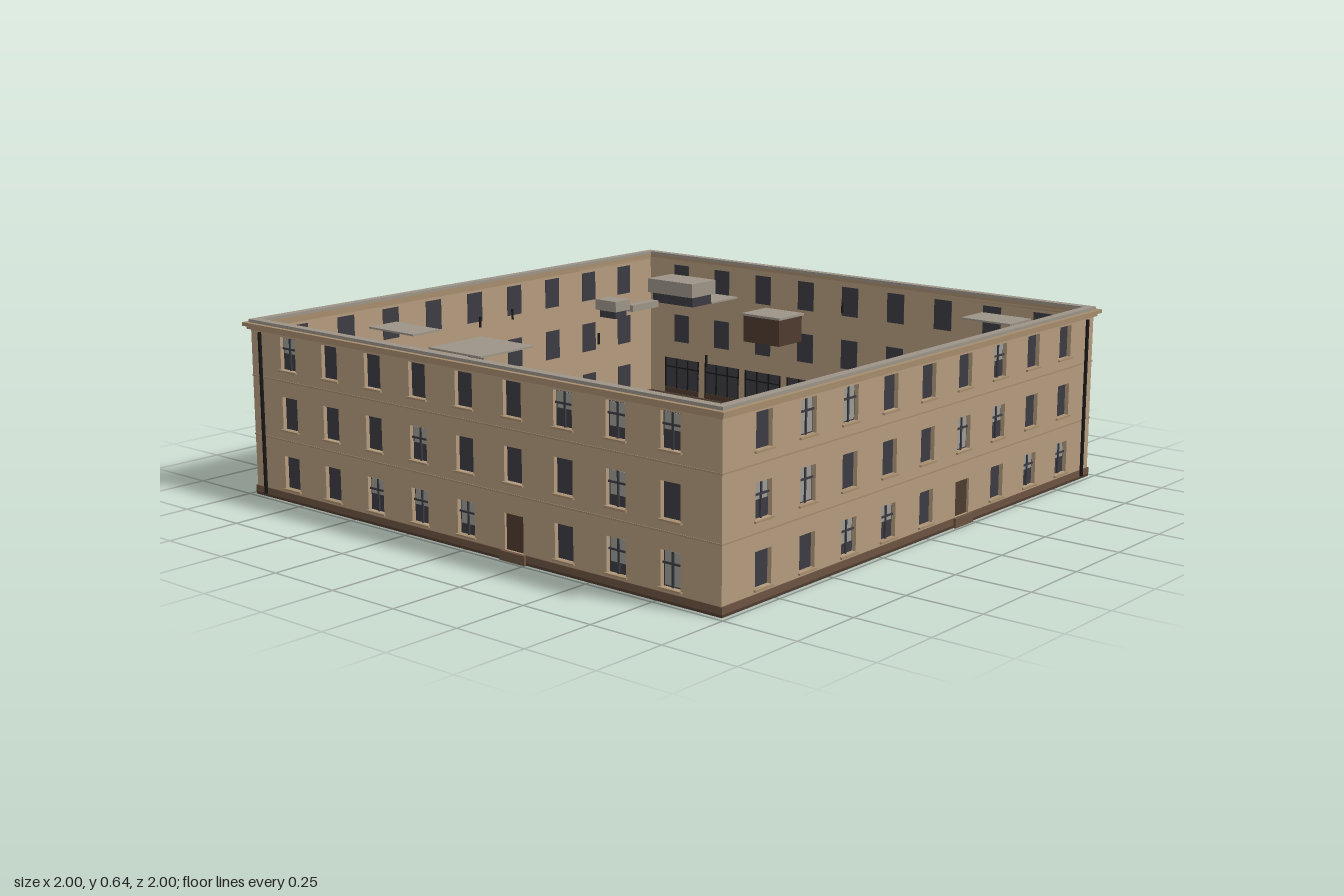
import * as THREE from 'three';

const mat = (name, color) => {
  const m = new THREE.MeshStandardMaterial({ color });
  m.name = name;
  return m;
};

export function createModel() {
  const M = {
    wall: mat('tan masonry', 0xb49c7e),
    trim: mat('cornice tan', 0xa68c6d),
    plinth: mat('plinth brown', 0x6b5341),
    door: mat('dark brown', 0x4e3b2e),
    glass: mat('dark glass', 0x3c3b42),
    blind: mat('pale blind', 0x9c9b95),
    grey: mat('roof grey', 0x9c9488),
    iron: mat('black iron', 0x1a1817),
  };
  const root = new THREE.Group();
  root.name = 'courtyardBuilding';

  // Box given by its minimum and maximum on each axis
  const box = (parent, name, m, x0, x1, y0, y1, z0, z1) => {
    const mesh = new THREE.Mesh(new THREE.BoxGeometry(x1 - x0, y1 - y0, z1 - z0), m);
    mesh.position.set((x0 + x1) / 2, (y0 + y1) / 2, (z0 + z1) / 2);
    mesh.name = name;
    parent.add(mesh);
    return mesh;
  };

  const OUT = 0.98, IN = 0.96, HW = 0.036;
  const sills = [0.434, 0.238, 0.043];
  const WIN_H = 0.107;

  // Recessed window: D dark, H upper half blind, L long blind, F full blind
  const windowUnit = (parent, x, y, type) => {
    const g = new THREE.Group();
    g.name = 'window';
    g.position.set(x, y, 0);
    parent.add(g);
    box(g, 'pane', M.glass, -HW, HW, 0, WIN_H, 0.958, 0.966);
    box(g, 'sill', M.trim, -HW - 0.006, HW + 0.006, -0.006, 0, OUT - 0.01, OUT + 0.007);
    if (type === 'D') return;
    const low = { H: 0.5, L: 0.3, F: 0.04 }[type] * WIN_H;
    box(g, 'blind', M.blind, -HW + 0.005, HW - 0.005, low, WIN_H - 0.005, 0.965, 0.968);
    box(g, 'mullion', M.glass, -0.003, 0.003, 0, WIN_H, 0.966, 0.972);
    box(g, 'transom', M.glass, -HW, HW, 0.066, 0.072, 0.966, 0.972);
  };

  // One facade, built facing +z and then turned into place
  const facade = (name, angle, rows, pipeX) => {
    const g = new THREE.Group();
    g.name = name;
    g.rotation.y = angle;
    root.add(g);
    const shape = new THREE.Shape();
    const rect = (p, x0, x1, y0, y1) =>
      p.moveTo(x0, y0).lineTo(x1, y0).lineTo(x1, y1).lineTo(x0, y1).closePath();
    rect(shape, -OUT, OUT, 0.005, 0.56);
    const hole = (x0, x1, y0, y1) => shape.holes.push(rect(new THREE.Path(), x0, x1, y0, y1));

    rows.forEach((row, r) => [...row].forEach((type, i) => {
      const x = -0.8 + i * 0.2, y = sills[r];
      if (type === 'P') { // entrance door
        hole(x - 0.038, x + 0.038, 0.03, 0.143);
        box(g, 'door', M.door, x - 0.038, x + 0.038, 0.03, 0.143, 0.958, 0.972);
        box(g, 'doorStep', M.plinth, x - 0.05, x + 0.05, 0, 0.03, OUT, OUT + 0.012);
      } else if (type === 'S') { // shop bay
        hole(x - 0.085, x + 0.085, 0.03, 0.17);
        box(g, 'shopPane', M.glass, x - 0.085, x + 0.085, 0.03, 0.17, 0.962, 0.966);
        box(g, 'shopDisplay', M.plinth, x - 0.05, x + 0.05, 0.05, 0.125, 0.9655, 0.968);
        box(g, 'stallRiser', M.door, x - 0.085, x + 0.085, 0.03, 0.05, 0.958, 0.978);
        for (const k of [-0.083, -0.028, 0.028, 0.083])
          box(g, 'shopMullion', M.iron, x + k - 0.003, x + k + 0.003, 0.05, 0.17, 0.96, 0.976);
        box(g, 'shopTransom', M.iron, x - 0.085, x + 0.085, 0.132, 0.137, 0.96, 0.976);
      } else if (type === 'E') { // shop entrance with an inner lobby
        hole(x - 0.085, x + 0.085, 0.01, 0.17);
        box(g, 'shopDoor', M.door, x - 0.085, x + 0.085, 0.01, 0.17, 0.958, 0.972);
        box(g, 'shopDoorSplit', M.iron, x - 0.003, x + 0.003, 0.01, 0.15, 0.972, 0.975);
        box(g, 'lobby', M.door, x - 0.08, x + 0.08, 0, 0.16, 0.91, 0.958);
      } else {
        hole(x - HW, x + HW, y, y + WIN_H);
        windowUnit(g, x, y, type);
      }
    }));

    const wall = new THREE.Mesh(
      new THREE.ExtrudeGeometry(shape, { depth: OUT - IN, bevelEnabled: false }), M.wall);
    wall.position.z = IN;
    wall.name = 'wall';
    g.add(wall);

    // Horizontal mouldings
    const shop = rows[2].includes('S');
    box(g, 'plinth', M.plinth, -0.984, 0.984, 0.008, 0.03, 0.955, 0.984);
    box(g, 'plinthBase', M.door, -0.984, 0.984, 0, 0.008, 0.955, 0.984);
    for (const y of shop ? [0.395] : [0.2, 0.395])
      box(g, 'stringCourse', M.trim, -0.982, 0.982, y, y + 0.005, 0.975, 0.982);
    box(g, 'corniceLower', M.trim, -0.99, 0.99, 0.55, 0.56, 0.96, 0.99);
    box(g, 'cornice', M.trim, -1, 1, 0.56, 0.572, 0.958, 1);
    box(g, 'coping', M.grey, -0.985, 0.985, 0.572, 0.582, 0.955, 0.985);

    if (shop) { // continuous shop fascia and pilasters
      box(g, 'fascia', M.door, -0.92, 0.92, 0.172, 0.19, OUT, 0.99);
      box(g, 'fasciaHood', M.iron, -0.93, 0.93, 0.19, 0.196, OUT, 0.999);
      for (let i = 0; i <= 9; i++) {
        const x = -0.9 + i * 0.2;
        box(g, 'pilaster', M.plinth, x - 0.012, x + 0.012, 0.03, 0.172, OUT, 0.986);
      }
    }
    if (pipeX) {
      const pipe = new THREE.Mesh(new THREE.CylinderGeometry(0.006, 0.006, 0.535, 8), M.iron);
      pipe.position.set(pipeX, 0.2775, 0.987);
      pipe.name = 'downpipe';
      g.add(pipe);
    }
  };

  facade('frontFacade', 0, ['HDDDDDHLH', 'DDDHDDDLD', 'DDHHLPDLF'], -0.93);
  facade('leftFacade', Math.PI / 2, ['DFFDDDHDD', 'HFDDDFHDD', 'DDLHDPDHH'], 0.93);
  facade('backFacade', Math.PI, ['DHDDFDDHD', 'HDDFDDHDD', 'SSSESSSSS']);
  facade('rightFacade', -Math.PI / 2, ['DDHDDFDDH', 'DHDDLDDDF', 'DHDDDLDHD'], -0.93);

  // Rooftop patches
  for (const [x0, x1, z0, z1] of [
    [0.64, 0.83, -0.83, -0.7], [-0.43, -0.18, -0.53, -0.39],
    [-0.74, -0.53, 0.57, 0.69], [-0.34, -0.11, 0.57, 0.8],
  ]) box(root, 'roofPatch', M.grey, x0, x1, 0.538, 0.544, z0, z1);

  // Stair hut
  box(root, 'stairHut', M.door, 0.365, 0.505, 0.55, 0.633, 0.005, 0.12);
  box(root, 'stairHutRoof', M.grey, 0.36, 0.51, 0.633, 0.64, 0, 0.125);

  // Ventilation units and the duct between them
  box(root, 'largeVentBase', M.glass, -0.34, -0.16, 0.545, 0.58, -0.36, -0.26);
  box(root, 'largeVent', M.grey, -0.35, -0.15, 0.58, 0.628, -0.37, -0.245);
  box(root, 'smallVentBase', M.glass, -0.265, -0.195, 0.55, 0.575, 0.042, 0.095);
  box(root, 'smallVent', M.grey, -0.275, -0.185, 0.575, 0.61, 0.035, 0.105);
  box(root, 'duct', M.grey, -0.215, -0.185, 0.565, 0.587, -0.11, 0.02);

  // Thin vent pipes
  for (const [x, z] of [[0.25, -0.565], [-0.52, 0.25], [-0.5, 0.42], [-0.01, 0.38], [0.47, 0.43]]) {
    const pipe = new THREE.Mesh(new THREE.CylinderGeometry(0.004, 0.004, 0.035, 8), M.iron);
    pipe.position.set(x, 0.55, z);
    pipe.name = 'ventPipe';
    root.add(pipe);
  }
  return root;
}
